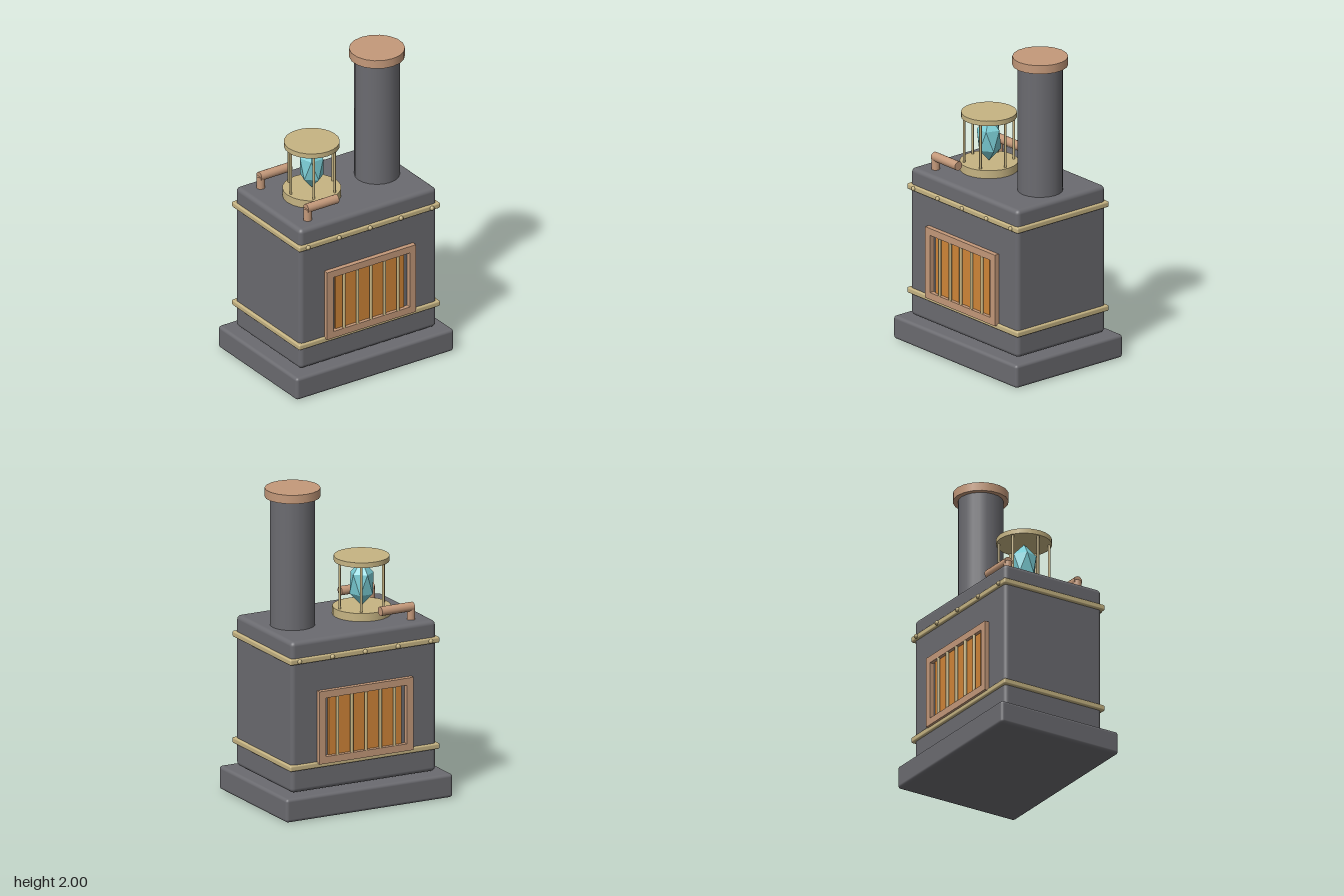
import * as THREE from 'three';
import { RoundedBoxGeometry } from 'three/addons/geometries/RoundedBoxGeometry.js';

const material = (name, color, flat = false) => {
  const m = new THREE.MeshStandardMaterial({ color, flatShading: flat });
  m.name = name;
  return m;
};

export function createModel() {
  const iron = material('iron', 0x6b6b70);
  const brass = material('brass', 0xc6b483);
  const copper = material('copper', 0xc4997a);
  const glow = material('fire glow', 0xd08538);
  const crystalBlue = material('crystal blue', 0x7accd4, true);

  const model = new THREE.Group();
  model.name = 'furnace';

  const add = (parent, name, geometry, mat, x = 0, y = 0, z = 0) => {
    const mesh = new THREE.Mesh(geometry, mat);
    mesh.name = name;
    mesh.position.set(x, y, z);
    parent.add(mesh);
    return mesh;
  };
  const group = (name, x = 0, y = 0, z = 0) => {
    const g = new THREE.Group();
    g.name = name;
    g.position.set(x, y, z);
    model.add(g);
    return g;
  };
  const cylinder = (r, h, sides) => new THREE.CylinderGeometry(r, r, h, sides);

  // Plinth, body and the two bands around it
  add(model, 'base', new RoundedBoxGeometry(1.17, 0.15, 0.86, 3, 0.02), iron, 0, 0.078, 0).position.y = 0.076;
  add(model, 'body', new RoundedBoxGeometry(1.016, 0.965, 0.71, 3, 0.028), iron, 0, 0.6425, 0);
  for (const [name, y] of [['lowerBand', 0.322], ['upperBand', 1.002]]) {
    add(model, name, new RoundedBoxGeometry(1.05, 0.037, 0.74, 2, 0.01), brass, 0, y, 0);
  }

  // Grate with frame, glowing pane, bars and rivets, on front and back
  const frameShape = new THREE.Shape();
  frameShape.moveTo(-0.33, 0.33).lineTo(0.33, 0.33).lineTo(0.33, 0.795).lineTo(-0.33, 0.795).closePath();
  const opening = new THREE.Path();
  opening.moveTo(-0.285, 0.375).lineTo(-0.285, 0.75).lineTo(0.285, 0.75).lineTo(0.285, 0.375).closePath();
  frameShape.holes.push(opening);
  const frameGeometry = new THREE.ExtrudeGeometry(frameShape, { depth: 0.037, bevelEnabled: false });

  for (const side of ['front', 'back']) {
    const grate = group(side + 'Grate');
    if (side === 'back') grate.rotation.y = Math.PI;
    add(grate, 'frame', frameGeometry, copper, 0, 0, 0.35);
    add(grate, 'firePane', new THREE.BoxGeometry(0.51, 0.37, 0.03), glow, 0, 0.5625, 0.353);
    for (let i = -2; i <= 2; i++) {
      add(grate, 'bar', cylinder(0.01, 0.375, 8), brass, i * 0.1, 0.5625, 0.38);
      add(grate, 'rivet', new THREE.SphereGeometry(0.015, 10, 8), brass, i * 0.23, 1.002, 0.37);
    }
  }

  // Chimney with cap
  const chimney = group('chimney', 0.305, 0, 0);
  add(chimney, 'pipe', cylinder(0.14, 0.86, 20), iron, 0, 1.53, 0);
  add(chimney, 'cap', cylinder(0.172, 0.055, 18), copper, 0, 1.9725, 0);

  // Open lantern holding a crystal
  const lantern = group('lantern', -0.18, 0, 0);
  add(lantern, 'lanternBase', cylinder(0.181, 0.06, 24), brass, 0, 1.147, 0);
  add(lantern, 'lanternLid', cylinder(0.172, 0.032, 24), brass, 0, 1.482, 0);
  for (let i = 0; i < 6; i++) {
    const a = (i * Math.PI) / 3;
    add(lantern, 'post', cylinder(0.008, 0.3, 8), brass, 0.155 * Math.cos(a), 1.32, 0.155 * Math.sin(a));
  }
  const crystal = new THREE.IcosahedronGeometry(1, 0);
  crystal.rotateZ(-Math.atan(0.618)).rotateY(0.31); // one corner points up
  crystal.rotateZ(Math.atan2(0, 1)).scale(0.084, 0.145, 0.084);
  const top = new THREE.Vector3(0, 0, 0);
  add(lantern, 'crystal', crystal, crystalBlue, top.x, 1.322, top.z);

  // Bent copper pipes on the top
  for (const [name, z] of [['frontPipe', 0.255], ['backPipe', -0.255]]) {
    const pipe = group(name, 0, 0, z);
    add(pipe, 'upright', cylinder(0.026, 0.1, 14), copper, -0.385, 1.155, 0);
    add(pipe, 'crosspiece', cylinder(0.029, 0.228, 14), copper, -0.283, 1.205, 0).rotation.z = Math.PI / 2;
  }

  return model;
}
